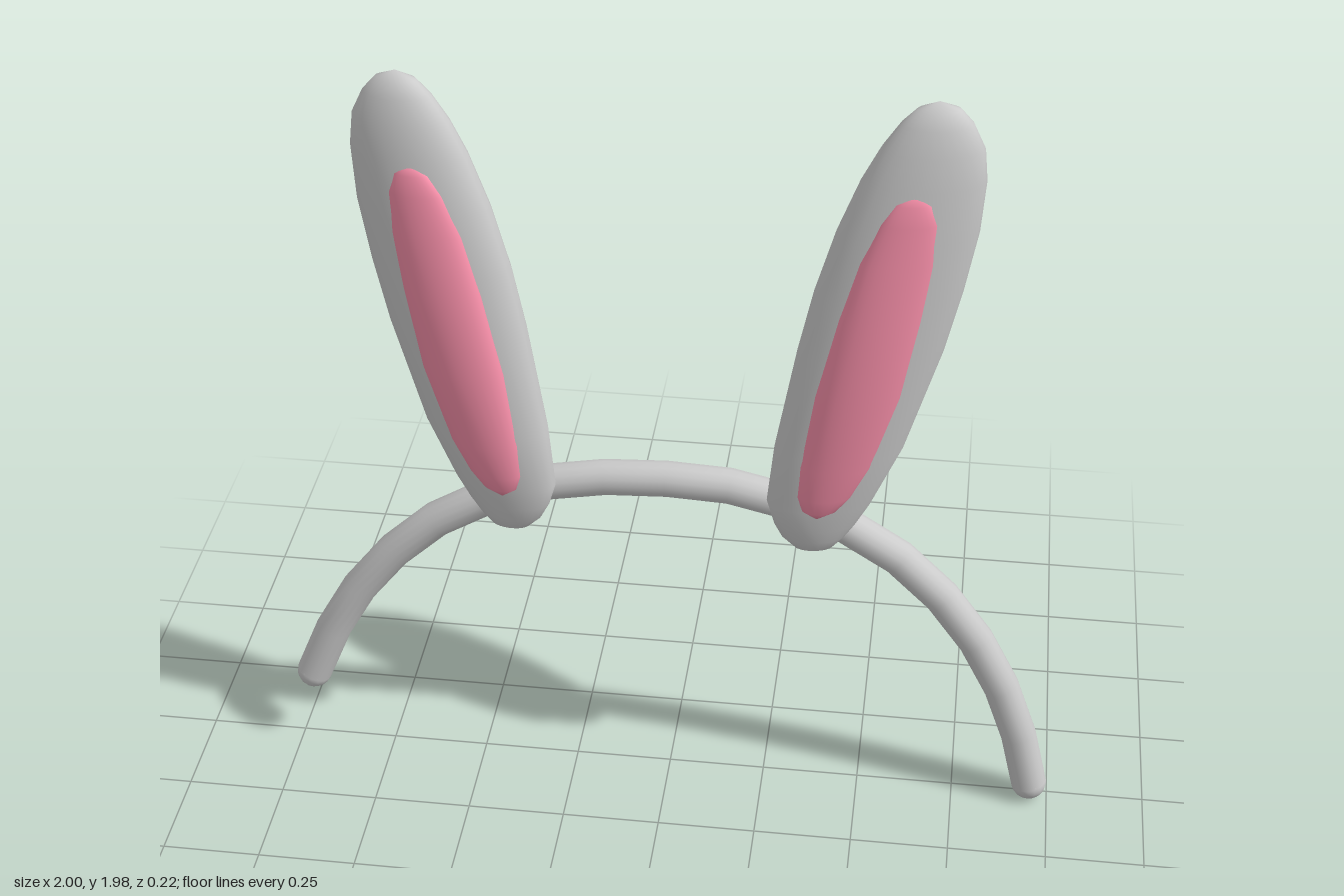
import * as THREE from 'three';
import { mergeVertices } from 'three/addons/utils/BufferGeometryUtils.js';

const grey = new THREE.MeshStandardMaterial({ color: 0xcccccc });
const pink = new THREE.MeshStandardMaterial({ color: 0xf890aa });

// Horizontal slices: [y, centre x, half width, centre z, half depth]
const EAR = [
  [0.753, 0.365, 0, 0.03, 0],
  [0.77, 0.362, 0.048, 0.028, 0.025],
  [0.80, 0.36, 0.078, 0.025, 0.038],
  [0.84, 0.363, 0.102, 0.022, 0.05],
  [0.902, 0.371, 0.128, 0.02, 0.06],
  [1.06, 0.413, 0.155, 0.011, 0.077],
  [1.33, 0.477, 0.172, -0.009, 0.085],
  [1.49, 0.512, 0.173, -0.018, 0.084],
  [1.65, 0.549, 0.164, -0.027, 0.08],
  [1.78, 0.578, 0.143, -0.035, 0.07],
  [1.86, 0.594, 0.118, -0.04, 0.06],
  [1.92, 0.600, 0.083, -0.043, 0.045],
  [1.955, 0.602, 0.05, -0.045, 0.029],
  [1.975, 0.602, 0, -0.046, 0],
];
const INNER = [
  [0.886, 0.37, 0, 0.078, 0],
  [0.91, 0.375, 0.042, 0.072, 0.022],
  [0.95, 0.385, 0.066, 0.065, 0.034],
  [1.04, 0.409, 0.086, 0.062, 0.045],
  [1.24, 0.455, 0.101, 0.057, 0.052],
  [1.45, 0.498, 0.096, 0.048, 0.046],
  [1.60, 0.530, 0.086, 0.038, 0.036],
  [1.70, 0.553, 0.066, 0.033, 0.026],
  [1.75, 0.561, 0.041, 0.033, 0.016],
  [1.777, 0.566, 0, 0.03, 0],
];
const SIDES = 24;
const YAW = 0.1;       // outer edge of each ear sits slightly further back
const MIDDLE = -0.02;  // the ears mirror about this x

// Closed loft through elliptical slices, for the left (1) or right (-1) side
function loft(slices, side) {
  const pos = [], index = [];
  slices.forEach(([y, cx, w, cz, d], r) => {
    for (let i = 0; i < SIDES; i++) {
      const a = (i / SIDES) * Math.PI * 2;
      const dx = w * Math.cos(a);
      pos.push(MIDDLE + side * (cx - MIDDLE) + dx, y, cz + d * Math.sin(a) - YAW * dx * side);
      if (r === 0) continue;
      const j = (i + 1) % SIDES, lo = (r - 1) * SIDES, hi = r * SIDES;
      if (r > 1) index.push(lo + i, hi + j, lo + j);
      if (r < slices.length - 1) index.push(lo + i, hi + i, hi + j);
    }
  });
  const geo = new THREE.BufferGeometry();
  geo.setAttribute('position', new THREE.Float32BufferAttribute(pos, 3));
  geo.setIndex(index);
  const merged = mergeVertices(geo, 1e-5);
  merged.computeVertexNormals();
  return merged;
}

function add(parent, name, geo, mat) {
  const mesh = new THREE.Mesh(geo, mat);
  mesh.name = name;
  parent.add(mesh);
  return mesh;
}

export function createModel() {
  const model = new THREE.Group();
  model.name = 'bunnyEarHeadband';

  // Headband: uneven arch leaning back towards its top
  const RADIUS = 0.046;
  const path = [
    [-0.955, 0.217], [-0.873, 0.405], [-0.766, 0.566], [-0.617, 0.715], [-0.446, 0.815],
    [-0.3, 0.865], [-0.136, 0.89], [0.126, 0.89], [0.275, 0.86], [0.42, 0.806],
    [0.58, 0.71], [0.72, 0.57], [0.83, 0.40], [0.905, 0.22], [0.95, 0.046],
  ].map(([x, y]) => new THREE.Vector3(x, y, 0.02 - 0.06 * y));
  const band = new THREE.Group();
  band.name = 'headband';
  model.add(band);
  const curve = new THREE.CatmullRomCurve3(path);
  add(band, 'bandArch', new THREE.TubeGeometry(curve, 17, RADIUS, 16), grey);

  // Rounded tips
  for (const [name, p] of [['rightTip', path[0]], ['leftTip', path[path.length - 1]]]) {
    add(band, name, new THREE.SphereGeometry(RADIUS, 16, 12), grey).position.copy(p);
  }

  // Ears with raised pink inner pads
  for (const side of [1, -1]) {
    const ear = new THREE.Group();
    ear.name = side > 0 ? 'leftEar' : 'rightEar';
    add(ear, 'outerEar', loft(EAR, side), grey);
    add(ear, 'innerEar', loft(INNER, side), pink);
    model.add(ear);
  }
  return model;
}
